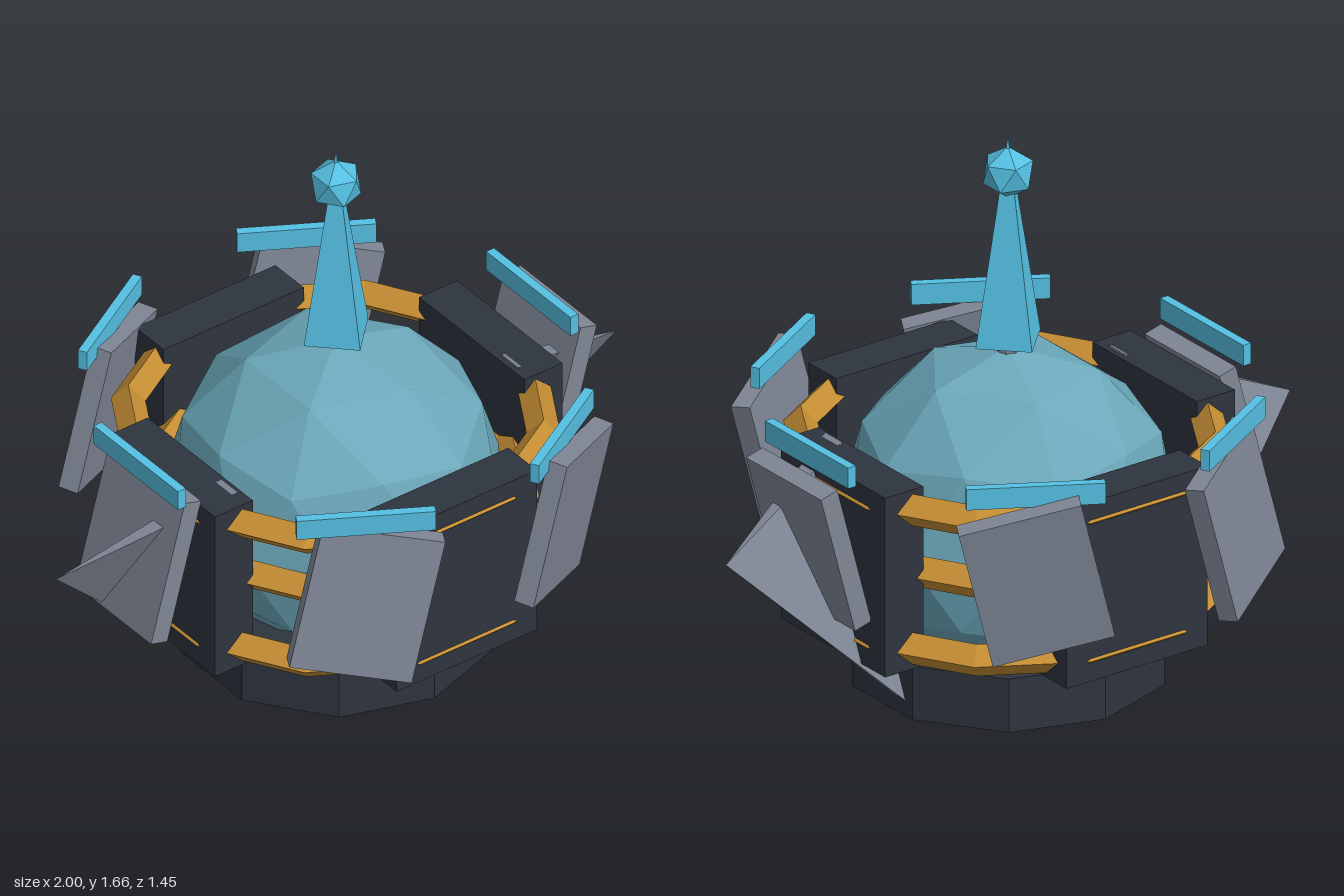
import * as THREE from 'three';
import { ConvexGeometry } from 'three/addons/geometries/ConvexGeometry.js';

const mat = (color) => new THREE.MeshStandardMaterial({ color, flatShading: true });

export function createModel() {
  const model = new THREE.Group();
  const dark = mat(0x2e343f), gold = mat(0xc48d33), glass = mat(0x6ba8ba);
  const blue = mat(0x55c0e2), grey = mat(0x7f8695);

  const add = (name, geometry, material, x = 0, y = 0, z = 0) => {
    const mesh = new THREE.Mesh(geometry, material);
    mesh.name = name;
    mesh.position.set(x, y, z);
    model.add(mesh);
    return mesh;
  };

  // Icosphere turned so that one corner is at the top
  const icosphere = (radius, detail) =>
    new THREE.IcosahedronGeometry(radius, detail)
      .rotateX(-Math.atan((1 + Math.sqrt(5)) / 2))
      .rotateY(Math.PI / 2);

  // Ten-sided foot and faceted core
  add('base', new THREE.CylinderGeometry(0.468, 0.468, 0.168, 10), dark, 0, 0.084, 0);
  add('core', icosphere(0.49, 1), glass, 0, 0.508, 0);

  // Twelve-sided rings with a diamond section, the middle one smaller
  for (const [y, radius] of [[0.72, 0.598], [0.5, 0.535], [0.285, 0.598]]) {
    const ring = new THREE.TorusGeometry(radius, 0.05, 4, 12)
      .rotateZ(Math.PI / 12)
      .rotateX(Math.PI / 2);
    add('ring', ring, gold, 0, y, 0);
  }

  // Four dark armour blocks
  for (let i = 0; i < 4; i++) {
    const a = (i * Math.PI) / 2;
    const block = add('armourBlock', new THREE.BoxGeometry(0.5, 0.563, 0.135), dark,
      0.552 * Math.sin(a), 0.502, 0.552 * Math.cos(a));
    block.rotation.y = a;
  }

  // Six outer panels, all leaning the same way, each with a level light bar
  for (let i = 0; i < 6; i++) {
    const a = Math.PI / 6 + (i * Math.PI) / 3;
    const sx = Math.sin(a), cz = Math.cos(a);
    const panel = add('outerPanel', new THREE.BoxGeometry(0.36, 0.46, 0.06), grey,
      0.706 * sx, 0.585, 0.706 * cz);
    panel.rotation.set(0, a, -0.265, 'ZYX');
    const bar = add('lightBar', new THREE.BoxGeometry(0.4, 0.065, 0.028), blue,
      0.7 * sx, 0.853, 0.7 * cz);
    bar.rotation.y = a;
  }

  // Slanted, pointed side fins
  for (const s of [1, -1]) {
    const corners = [
      [1, 0.585, 0],
      [0.5, 0.09, -0.137], [0.5, 0.09, -0.186],
      [0.5, 0.79, 0.2], [0.5, 0.79, 0.12],
    ].map(([x, y, z]) => new THREE.Vector3(s * x, y, z));
    add('sideFin', new ConvexGeometry(corners), grey);
  }

  // Spire on a short stem, with a faceted ball near the tip
  add('spireStem', new THREE.CylinderGeometry(0.034, 0.034, 0.12, 8), grey, 0, 0.965, 0);
  add('spire', new THREE.ConeGeometry(0.115, 0.64, 4), blue, 0, 1.34, 0);
  add('spireBall', icosphere(0.08, 0), blue, 0, 1.545, 0);

  return model;
}
